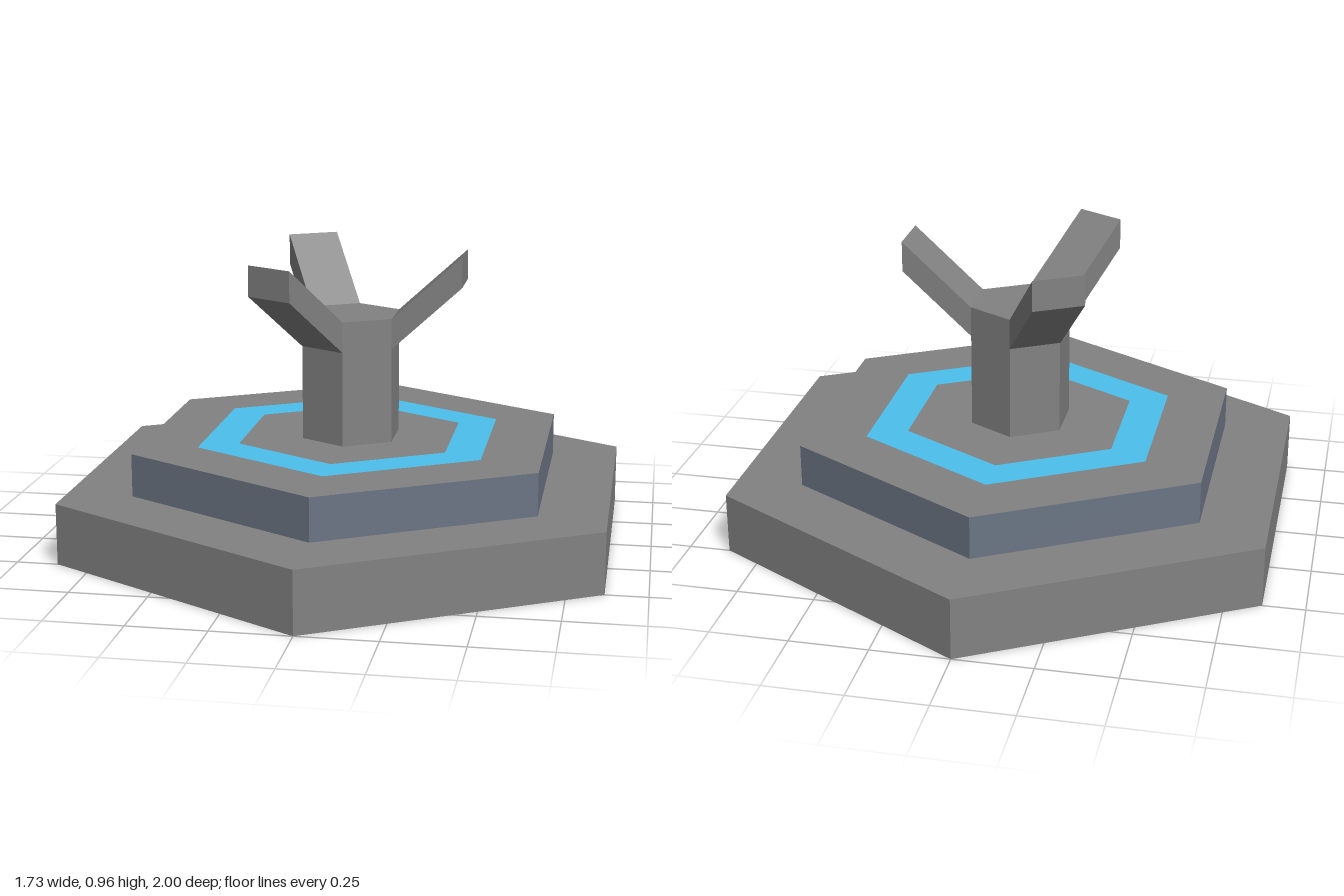
import * as THREE from 'three';

const grey = new THREE.MeshStandardMaterial({ color: 0x828282, flatShading: true });
const slate = new THREE.MeshStandardMaterial({ color: 0x6b7584, flatShading: true });
const blue = new THREE.MeshStandardMaterial({ color: 0x4bc0ec, side: THREE.DoubleSide });

// Hexagonal prism with corners on the z axis, standing between two heights
function hexPrism(name, radius, y0, y1, sideMaterial = grey) {
  const geometry = new THREE.CylinderGeometry(radius, radius, y1 - y0, 6);
  const mesh = new THREE.Mesh(geometry, [sideMaterial, grey, grey]);
  mesh.name = name;
  mesh.position.y = (y0 + y1) / 2;
  return mesh;
}

// Slanted arm: a parallelogram rising outward from one column facet
function arm(name, angle, reach, tipY) {
  const root = 0.147, width = 0.172, thick = 0.1;
  const profile = new THREE.Shape([
    new THREE.Vector2(root, 0.75 - thick),
    new THREE.Vector2(reach, tipY - thick),
    new THREE.Vector2(reach, tipY),
    new THREE.Vector2(root, 0.75),
  ]);
  const geometry = new THREE.ExtrudeGeometry(profile, { depth: width, bevelEnabled: false });
  geometry.translate(0, 0, -width / 2);
  const mesh = new THREE.Mesh(geometry, grey);
  mesh.name = name;
  mesh.rotation.y = angle;
  return mesh;
}

export function createModel() {
  const model = new THREE.Group();
  model.name = 'hexagonalPedestal';

  // Stepped platform and central column
  model.add(
    hexPrism('base', 1, 0, 0.2),
    hexPrism('upperTier', 0.75, 0.2, 0.34, slate),
    hexPrism('column', 0.17, 0.34, 0.75),
  );

  // Flat coloured band on the upper tier
  const ring = new THREE.Mesh(new THREE.RingGeometry(0.39, 0.53, 6, 1, Math.PI / 2), blue);
  ring.name = 'glowRing';
  ring.rotation.x = -Math.PI / 2;
  ring.position.y = 0.342;
  model.add(ring);

  // Three arms on alternate facets
  const third = (Math.PI * 2) / 3;
  model.add(
    arm('leftArm', 0, 0.373, 0.957),
    arm('backArm', third, 0.373, 0.96),
    arm('frontArm', third * 2, 0.403, 0.95),
  );
  return model;
}
